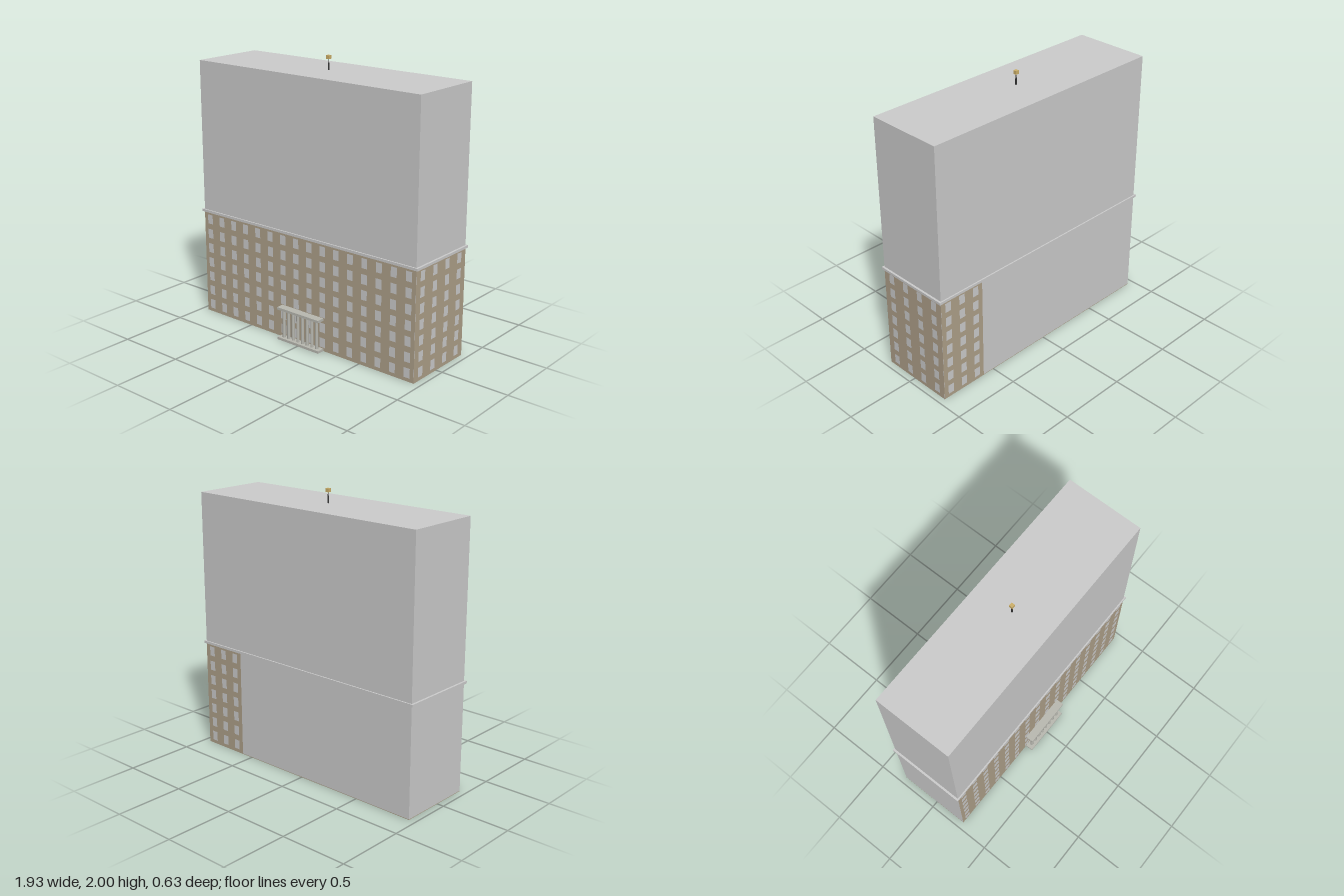
import * as THREE from 'three';

const grey = new THREE.MeshStandardMaterial({ color: 0xcccccc });
const stone = new THREE.MeshStandardMaterial({ color: 0xaea089 });
const trim = new THREE.MeshStandardMaterial({ color: 0xb8b8b0 });
const iron = new THREE.MeshStandardMaterial({ color: 0x333333 });
const gold = new THREE.MeshStandardMaterial({ color: 0xcdb06a });

const W = 1.9, D = 0.56, H = 1.9, ZC = -0.025; // block size and centre in z
const WALL_H = 0.785, ROWS = 7, ROW_PITCH = 0.1115, SKIN = 0.001;

function add(parent, name, geometry, material, x, y, z) {
  const mesh = new THREE.Mesh(geometry, material);
  mesh.name = name;
  mesh.position.set(x, y, z);
  parent.add(mesh);
  return mesh;
}

function rect(path, x, y, w, h) {
  return path.moveTo(x - w / 2, y - h / 2).lineTo(x + w / 2, y - h / 2)
    .lineTo(x + w / 2, y + h / 2).lineTo(x - w / 2, y + h / 2).closePath();
}

// Stone facing with a grid of window openings, centred on x = 0
function facade(width, columns, pitch) {
  const shape = rect(new THREE.Shape(), 0, WALL_H / 2, width, WALL_H);
  for (let c = 0; c < columns; c++) {
    for (let r = 0; r < ROWS; r++) {
      const x = (c - (columns - 1) / 2) * pitch;
      shape.holes.push(rect(new THREE.Path(), x, 0.06 + r * ROW_PITCH, 0.048, 0.07));
    }
  }
  return new THREE.ShapeGeometry(shape);
}

export function createModel() {
  const model = new THREE.Group();
  model.name = 'building';

  // Main block and its stone footing
  add(model, 'block', new THREE.BoxGeometry(W, H - 0.004, D), grey, 0, H / 2 + 0.002, ZC);
  add(model, 'footing', new THREE.BoxGeometry(W, 0.004, D), stone, 0, 0.002, ZC);

  // Windowed facings: front, left side and the return round the back corner
  add(model, 'frontFacade', facade(W, 16, 0.1193), stone, 0, 0, ZC + D / 2 + SKIN);
  const side = add(model, 'sideFacade', facade(D, 4, 0.139), stone, W / 2 + SKIN, 0, ZC);
  side.rotation.y = Math.PI / 2;
  const returnW = 3 * 0.1193;
  const back = add(model, 'backFacadeReturn', facade(returnW, 3, 0.1193), stone,
    W / 2 - returnW / 2, 0, ZC - D / 2 - SKIN);
  back.rotation.y = Math.PI;

  // Cornice band
  add(model, 'cornice', new THREE.BoxGeometry(W + 0.03, 0.018, D + 0.02), grey, 0, 0.791, ZC);

  // Entrance portico
  const portico = new THREE.Group();
  portico.name = 'portico';
  model.add(portico);
  const slab = new THREE.BoxGeometry(0.376, 0.018, 0.06);
  add(portico, 'porticoBase', slab, trim, 0, 0.009, 0.284);
  add(portico, 'porticoRoof', slab, trim, 0, 0.236, 0.284);
  const column = new THREE.CylinderGeometry(0.011, 0.012, 0.212, 12);
  for (let i = 0; i < 8; i++) {
    add(portico, 'column', column, trim, (i - 3.5) * 0.043, 0.122, 0.283);
  }

  // Rooftop mast with a square finial
  const mast = new THREE.Group();
  mast.name = 'mast';
  model.add(mast);
  add(mast, 'mastLower', new THREE.CylinderGeometry(0.005, 0.006, 0.05, 8), iron, 0, H + 0.025, ZC);
  add(mast, 'mastUpper', new THREE.CylinderGeometry(0.0025, 0.003, 0.035, 8), iron, 0, H + 0.0625, ZC);
  add(mast, 'finial', new THREE.BoxGeometry(0.025, 0.025, 0.025), gold, 0, 1.9875, ZC);

  return model;
}
